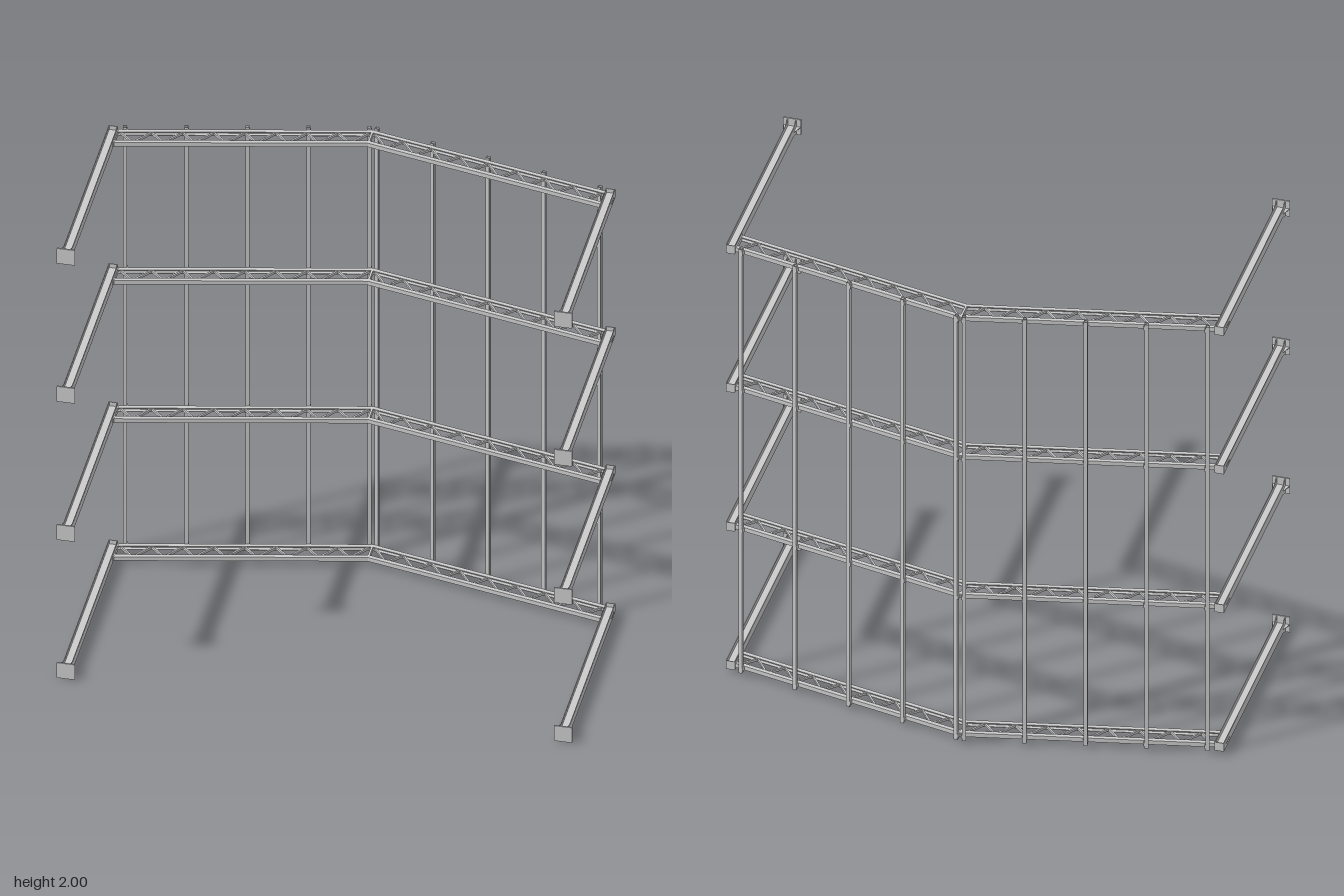
import * as THREE from 'three';

const mat = new THREE.MeshStandardMaterial({ color: 0xcccccc, side: THREE.DoubleSide });
const FRAMES = [0.035, 0.678, 1.322, 1.965]; // heights of the four portal frames
const COL_X = 0.964, END_X = 0.945, SLOPE = 0.212;
const outerZ = x => -0.515 + SLOPE * x; // outer edge of the top chord
const innerZ = x => -0.427 + SLOPE * x; // inner edge of the bottom chord

function add(parent, name, geo, x = 0, y = 0, z = 0) {
  const m = new THREE.Mesh(geo, mat);
  m.name = name;
  m.position.set(x, y, z);
  parent.add(m);
  return m;
}
const box = (parent, name, w, h, d, x, y, z) =>
  add(parent, name, new THREE.BoxGeometry(w, h, d), x, y, z);

// Flat plate outlined by [x, z] corners, with its thickness along y
function plate(parent, name, pts, y, thick) {
  const shape = new THREE.Shape(pts.map(([x, z]) => new THREE.Vector2(x, -z)));
  const geo = new THREE.ExtrudeGeometry(shape, { depth: thick, bevelEnabled: false });
  geo.rotateX(-Math.PI / 2);
  return add(parent, name, geo, 0, y - thick / 2, 0);
}

// Straight bar between two points in the plane of the frame
function bar(parent, name, a, b, width, height) {
  const dx = b[0] - a[0], dz = b[1] - a[1];
  const m = box(parent, name, Math.hypot(dx, dz), height, width, (a[0] + b[0]) / 2, 0, (a[1] + b[1]) / 2);
  m.rotation.y = Math.atan2(-dz, dx);
}

// H-section column with base plate, stiffeners, cap and bolts
function column(s) {
  const g = new THREE.Group();
  g.name = 'column';
  const z0 = -0.32, z1 = 0.522, len = z1 - z0, zm = (z0 + z1) / 2, x = s * COL_X;
  for (const f of [-1, 1]) box(g, 'columnFlange', 0.003, 0.038, len, x + f * 0.0165, 0, zm);
  box(g, 'columnWeb', 0.032, 0.003, len, x, 0, zm);
  box(g, 'columnCap', 0.036, 0.038, 0.003, x, 0, z0 + 0.0015);
  box(g, 'basePlate', 0.07, 0.07, 0.006, x, 0, 0.525);
  for (const f of [-1, 1]) {
    // stiffener standing out from the flange
    plate(g, 'baseStiffener', [
      [x + f * 0.018, 0.488], [x + f * 0.022, 0.488], [x + f * 0.034, 0.522], [x + f * 0.018, 0.522],
    ], 0, 0.003);
    // stiffeners along both flanges, spreading past their edges
    for (const e of [-1, 1]) {
      const wing = new THREE.Shape([
        new THREE.Vector2(0.488, e * 0.019), new THREE.Vector2(0.522, e * 0.034),
        new THREE.Vector2(0.522, e * 0.019),
      ]);
      const geo = new THREE.ExtrudeGeometry(wing, { depth: 0.003, bevelEnabled: false });
      geo.rotateY(-Math.PI / 2);
      add(g, 'flangeStiffener', geo, x + f * 0.0165 + 0.0015, 0, 0);
    }
  }
  // bolts through the outer flange at the truss
  for (let i = 0; i < 4; i++) {
    const bolt = new THREE.CylinderGeometry(0.003, 0.003, 0.003, 6);
    bolt.rotateZ(Math.PI / 2);
    add(g, 'bolt', bolt, x + s * 0.0185, 0, -0.25 - i * 0.0125);
  }
  return g;
}

// Half of the roof truss: two channel chords with zigzag lacing
function halfTruss(s) {
  const g = new THREE.Group();
  g.name = 'halfTruss';
  const depth = 0.017, width = 0.018, t = 0.003;
  const strip = (edge, a, b) => [
    [0, edge(0) + a], [s * END_X, edge(END_X) + a], [s * END_X, edge(END_X) + b], [0, edge(0) + b],
  ];
  for (const [name, edge, d] of [['topChord', outerZ, 1], ['bottomChord', innerZ, -1]]) {
    plate(g, name + 'Web', strip(edge, 0, d * t), 0, width);
    for (const e of [-1, 1]) plate(g, name + 'Side', strip(edge, 0, d * depth), e * (width - t) / 2, t);
  }
  // lacing
  const n = 16, step = 0.92 / n;
  const node = i => {
    const x = 0.012 + i * step;
    return [s * x, i % 2 ? innerZ(x) - 0.01 : outerZ(x) + 0.01];
  };
  for (let i = 0; i < n; i++) bar(g, 'lacing', node(i), node(i + 1), 0.007, 0.01);
  // end plates at the ridge and the column
  box(g, 'ridgePlate', 0.004, 0.018, 0.085, s * 0.002, 0, -0.471);
  box(g, 'endPlate', 0.004, 0.022, 0.09, s * 0.944, 0, -0.27);
  return g;
}

// Lipped channel purlin running through all the frames, with cleats
function purlin(s, x) {
  const g = new THREE.Group();
  g.name = 'purlin';
  const h = 0.0075, t = 0.002, lip = 0.004;
  const pts = [
    [-h, -h], [h, -h], [h, -h + lip], [h - t, -h + lip], [h - t, -h + t], [-h + t, -h + t],
    [-h + t, h - t], [h - t, h - t], [h - t, h - lip], [h, h - lip], [h, h], [-h, h],
  ].map(([a, b]) => [s * a, b]);
  plate(g, 'purlinChannel', pts, 0, 1.966).position.y = 0.017;
  for (const y of FRAMES) box(g, 'purlinCleat', 0.003, 0.016, 0.015, -s * 0.009, y, 0);
  g.position.set(s * x, 0, outerZ(x) - h);
  g.rotation.y = -s * Math.atan(SLOPE);
  return g;
}

export function createModel() {
  const model = new THREE.Group();
  model.name = 'portalFrameBuilding';
  for (const y of FRAMES) {
    const frame = new THREE.Group();
    frame.name = 'portalFrame';
    for (const s of [-1, 1]) frame.add(column(s), halfTruss(s));
    frame.position.y = y;
    model.add(frame);
  }
  for (const s of [-1, 1])
    for (const x of [0.015, 0.241, 0.467, 0.693, 0.92]) model.add(purlin(s, x));
  return model;
}
